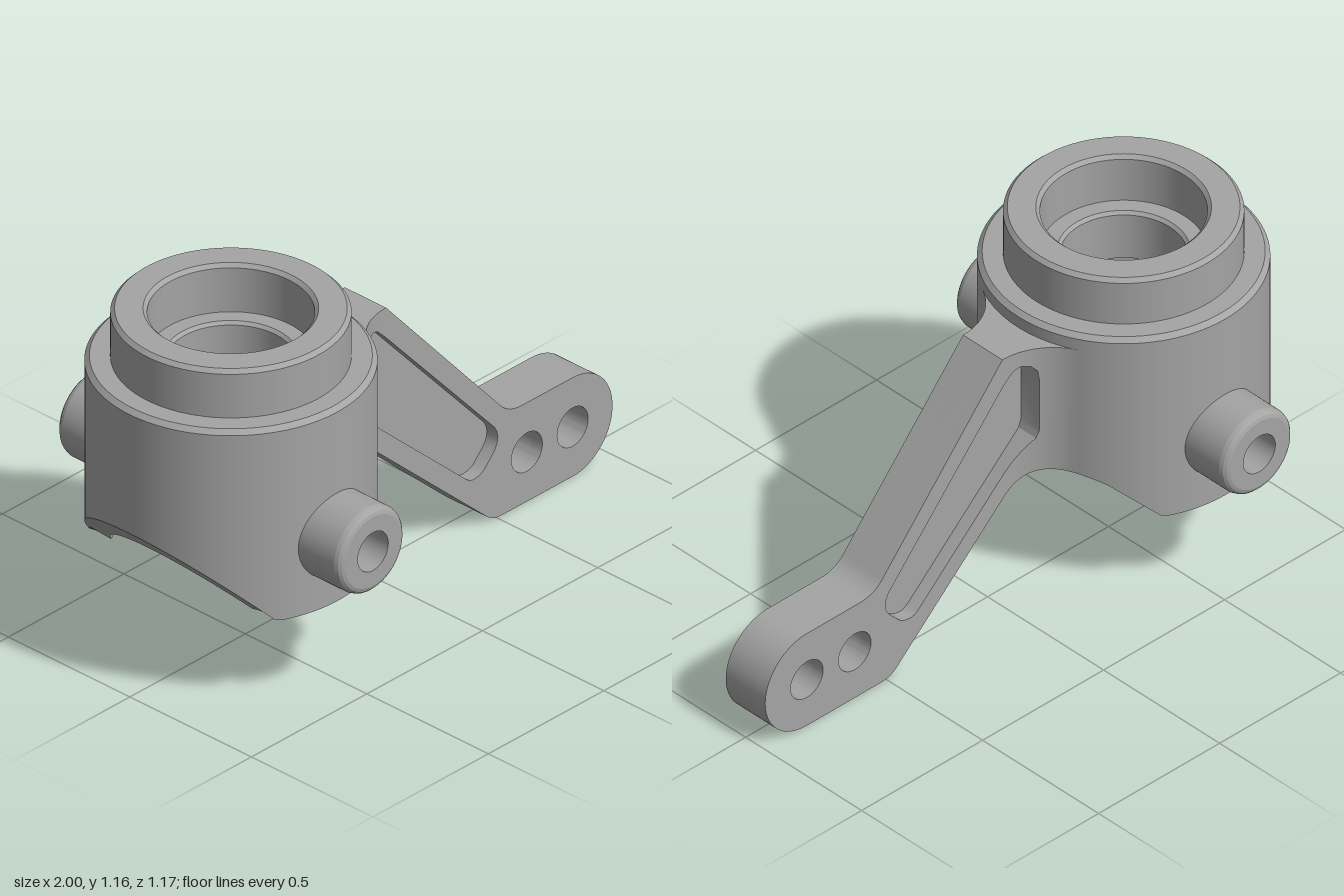
import * as THREE from 'three';
import { mergeGeometries, toCreasedNormals } from 'three/addons/utils/BufferGeometryUtils.js';

const CX = -0.5625;           // axis of the hub
const R = 0.4375, RI = 0.36;  // hub wall, outside and inside
const PIN_Y = 0.56, HOLE = 0.066, WIN = 0.1;
const WEB = 0.04, ARM = 0.085; // half thickness of pocket floor and of arm
const V = (x, y) => new THREE.Vector2(x, y);

// underside height along x: chamfer, flat, chamfer, arch, arm slope
function under(x) {
  if (x < -0.77) return 0.325 + (-0.77 - x) * 1.065;
  if (x < -0.355) return 0.325;
  if (x < -0.24) return 0.68 + x;
  if (x < -0.006) return 0.32 + Math.sqrt(0.0289 - (x + 0.12) ** 2);
  return 0.446 - (x + 0.006) * 0.914;
}

// half width of the arm root, flaring into the hub
const flare = x => 0.305 - Math.sqrt(0.0484 - (x - 0.02) ** 2);

// straight-line interpolation through points
const through = pts => x => {
  let i = 1;
  while (i < pts.length - 1 && x > pts[i][0]) i++;
  const [a, b] = [pts[i - 1], pts[i]];
  return a[1] + (b[1] - a[1]) * (x - a[0]) / (b[0] - a[0]);
};
const pocketTop = through([[-0.1, 0.82], [-0.095, 0.86], [-0.075, 0.883], [-0.045, 0.89], [-0.02, 0.88], [0.02, 0.84]]);
const pocketLow = through([[-0.1, 0.64], [-0.09, 0.61], [0.02, 0.51]]);

// one turned face between two profile points
const band = (p, q, start = 0, len = Math.PI * 2) =>
  new THREE.LatheGeometry([V(...p), V(...q)], Math.max(8, Math.round(len * 22)), start, len);

const turned = pts => pts.slice(1).map((p, i) => band(pts[i], p));

// lower every vertex marked y = 0 to the shaped underside
function trim(g) {
  const p = g.attributes.position;
  for (let i = 0; i < p.count; i++) if (p.getY(i) === 0) p.setY(i, under(p.getX(i) + CX));
  return g;
}

// round wall with a square window at each pin
function wall(r, top, inward) {
  const a = Math.asin(WIN / r), out = [];
  const add = (y0, y1, s, l) => out.push(trim(inward ? band([r, y1], [r, y0], s, l) : band([r, y0], [r, y1], s, l)));
  for (const k of [0, Math.PI]) {
    add(0, top, k + a, Math.PI - 2 * a);
    add(0, PIN_Y - WIN, k - a, 2 * a);
    add(PIN_Y + WIN, top, k - a, 2 * a);
  }
  return out;
}

// collects quads, reversed on the back side
function quadSet(s) {
  const pos = [];
  return {
    quad(...c) {
      if (s < 0) c.reverse();
      for (const i of [0, 1, 2, 0, 2, 3]) pos.push(c[i][0], c[i][1], c[i][2] * s);
    },
    build() {
      const g = new THREE.BufferGeometry();
      g.setAttribute('position', new THREE.Float32BufferAttribute(pos, 3));
      return toCreasedNormals(g, 0.5);
    },
  };
}

// inner wall filling between window and round pin hole
function holeSurround(s) {
  const set = quadSet(s), n = 32;
  const at = (i, round) => {
    const t = i / n * Math.PI * 2, c = Math.cos(t), d = Math.sin(t);
    const k = round ? HOLE : WIN / Math.max(Math.abs(c), Math.abs(d));
    return [k * c, PIN_Y + k * d, Math.sqrt(RI * RI - k * k * c * c)];
  };
  for (let i = 0; i < n; i++) set.quad(at(i, true), at(i + 1, true), at(i + 1, false), at(i, false));
  return set.build();
}

// arm root on one side, around the pocket
function armRoot(s) {
  const set = quadSet(s), top = () => 0.945;
  const strip = (lo, hi, x0, x1, n) => {
    for (let i = 0; i < n; i++) {
      const a = x0 + (x1 - x0) * i / n, b = x0 + (x1 - x0) * (i + 1) / n;
      const P = (x, f, z) => [x, f(x), z], wa = flare(a), wb = flare(b);
      set.quad(P(a, lo, wa), P(b, lo, wb), P(b, hi, wb), P(a, hi, wa));
      set.quad(P(a, hi, wa), P(b, hi, wb), P(b, hi, WEB), P(a, hi, WEB));
      set.quad(P(a, lo, WEB), P(b, lo, WEB), P(b, lo, wb), P(a, lo, wa));
    }
  };
  strip(under, top, -0.175, -0.1, 10);
  strip(under, pocketLow, -0.1, 0.02, 24);
  strip(pocketTop, top, -0.1, 0.02, 24);
  const w = flare(-0.1);
  set.quad([-0.1, 0.64, WEB], [-0.1, 0.82, WEB], [-0.1, 0.82, w], [-0.1, 0.64, w]);
  return set.build();
}

// arm outline from the lower left round to the upper left
function armOutline(x0) {
  const s = new THREE.Shape();
  s.moveTo(x0, under(x0));
  for (let i = 1; i <= 32; i++) {
    const x = x0 + (0.45 - x0) * i / 32;
    s.lineTo(x, under(x));
  }
  s.quadraticCurveTo(0.48, 0, 0.52, 0);
  s.lineTo(0.828, 0);
  s.absarc(0.828, 0.1725, 0.1725, -Math.PI / 2, Math.PI / 2, false);
  s.lineTo(0.61, 0.345);
  s.quadraticCurveTo(0.55, 0.345, 0.515, 0.386);
  s.lineTo(0.02, 0.945);
  for (const x of [0.63, 0.828]) s.holes.push(new THREE.Path().absarc(x, 0.1725, 0.067, 0, Math.PI * 2, true));
  return s;
}

function slab(shape, z0, z1) {
  const g = new THREE.ExtrudeGeometry(shape, { depth: z1 - z0, bevelEnabled: false, curveSegments: 24 });
  return toCreasedNormals(g.translate(0, 0, z0), 0.5);
}

export function createModel() {
  const metal = new THREE.MeshStandardMaterial({ color: 0xa4a4a4 });
  metal.name = 'grey metal';
  const model = new THREE.Group();
  model.name = 'steeringKnuckle';
  const add = (name, geometry, parent = model) => {
    const m = new THREE.Mesh(geometry, metal);
    m.name = name;
    parent.add(m);
    return m;
  };

  // hub with collar, bearing seat and open cavity
  const hub = new THREE.Group();
  hub.name = 'hub';
  hub.position.x = CX;
  model.add(hub);
  add('hubOuterWall', mergeGeometries(wall(R, 0.985, false)), hub);
  add('hubInnerWall', mergeGeometries(wall(RI, 0.83, true)), hub);
  add('collarAndBore', mergeGeometries(turned([
    [R, 0.985], [0.422, 1], [0.36, 1], [0.36, 1.152], [0.347, 1.165], [0.262, 1.165], [0.25, 1.153],
    [0.25, 1], [0.2, 1], [0.19, 0.99], [0.19, 0.83], [RI, 0.83],
  ])), hub);
  const rim = trim(band([RI, 0], [R, 0])).toNonIndexed();
  rim.computeVertexNormals();
  add('hubRim', rim, hub);

  // hollow pivot pins, front and back
  const pinShape = mergeGeometries(turned([
    [0.143, 0.395], [0.143, 0.56], [0.139, 0.573], [0.131, 0.581], [0.12, 0.585], [HOLE, 0.585], [HOLE, 0.356],
  ]));
  for (const s of [1, -1]) {
    const side = s > 0 ? 'front' : 'back';
    const pin = add(side + 'Pin', pinShape, hub);
    pin.position.y = PIN_Y;
    pin.rotation.x = s * Math.PI / 2;
    add(side + 'PinHoleSurround', holeSurround(s), hub);
  }

  // arm core, also the pocket floor
  const core = armOutline(-0.19);
  core.lineTo(-0.19, 0.945);
  add('armCore', slab(core, -WEB, WEB));

  // raised border around the pocket
  const border = armOutline(0.02);
  for (const [x, y] of [[0.02, 0.84], [0.49, 0.32], [0.5, 0.302], [0.504, 0.28], [0.5, 0.258], [0.488, 0.238],
    [0.445, 0.193], [0.425, 0.182], [0.4, 0.178], [0.385, 0.181], [0.37, 0.19], [0.02, 0.51]]) border.lineTo(x, y);
  for (const s of [1, -1]) {
    const side = s > 0 ? 'front' : 'back';
    add(side + 'ArmBorder', s > 0 ? slab(border, WEB, ARM) : slab(border, -ARM, -WEB));
    add(side + 'ArmRoot', armRoot(s));
  }
  return model;
}
